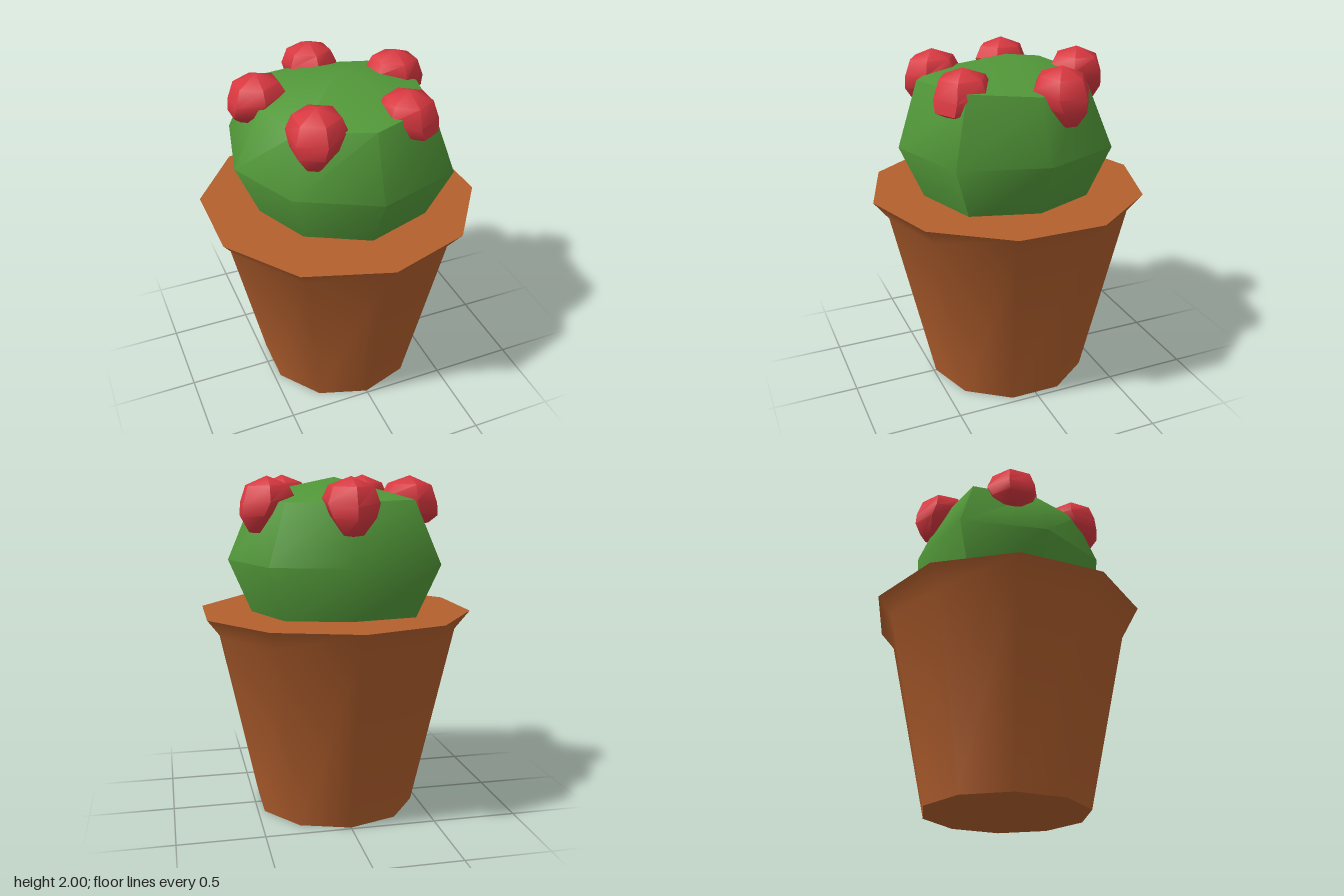
import * as THREE from 'three';
import { toCreasedNormals } from 'three/addons/utils/BufferGeometryUtils.js';

// Skin a stack of rings, listed bottom to top; a ring of equal points closes an end.
function loft(rings, creaseDegrees) {
  const positions = [];
  const addTriangle = (a, b, c) => {
    const area = new THREE.Triangle(a, b, c).getArea();
    if (area > 1e-7) for (const p of [a, b, c]) positions.push(p.x, p.y, p.z);
  };
  for (let k = 0; k < rings.length - 1; k++) {
    const low = rings[k], high = rings[k + 1], n = low.length;
    for (let i = 0; i < n; i++) {
      const j = (i + 1) % n;
      addTriangle(low[i], low[j], high[j]);
      addTriangle(low[i], high[j], high[i]);
    }
  }
  const geometry = new THREE.BufferGeometry();
  geometry.setAttribute('position', new THREE.Float32BufferAttribute(positions, 3));
  return toCreasedNormals(geometry, THREE.MathUtils.degToRad(creaseDegrees));
}

// Regular ring with its first corner towards +z.
function ring(sides, radius, y, cx = 0, cz = 0) {
  return Array.from({ length: sides }, (_, i) => {
    const a = (i / sides) * Math.PI * 2;
    return new THREE.Vector3(cx + Math.sin(a) * radius, y, cz + Math.cos(a) * radius);
  });
}

// Ball-shaped bloom whose lower half leans outwards over the cactus edge.
function flowerGeometry(x, z, bottom) {
  const out = new THREE.Vector2(x, z).normalize();
  // radius, height, outward shift, tilt
  const profile = [
    [0, bottom, 0.055, 0],
    [0.06, bottom + 0.01, 0.055, 0],
    [0.135, 1.79, 0.035, 0.12],
    [0.165, 1.87, 0, 0.16],
    [0.13, 1.95, 0, 0.04],
    [0, 2, 0, 0],
  ];
  const rings = profile.map(([r, y, shift, tilt]) => {
    const points = ring(6, r, y, out.x * shift, out.y * shift);
    for (const p of points) p.y -= tilt * (p.x * out.x + p.z * out.y - shift);
    return points;
  });
  return loft(rings, 55);
}

export function createModel() {
  const model = new THREE.Group();
  const terracotta = new THREE.MeshStandardMaterial({ color: 0xb4602e });
  terracotta.name = 'terracotta';
  const green = new THREE.MeshStandardMaterial({ color: 0x529839 });
  green.name = 'cactusGreen';
  const red = new THREE.MeshStandardMaterial({ color: 0xd93840 });
  red.name = 'flowerRed';

  const add = (name, geometry, material) => {
    const mesh = new THREE.Mesh(geometry, material);
    mesh.name = name;
    model.add(mesh);
    return mesh;
  };

  // Ten-sided pot with a flared rim and a flat top
  const potProfile = [[0, 0], [0.485, 0], [0.728, 1.1], [0.815, 1.21], [0, 1.21]];
  add('pot', loft(potProfile.map(([r, y]) => ring(10, r, y)), 48), terracotta);

  // Uneven eight-sided cactus: widest ring, shoulder ring and apex
  const waist = [[0, 0.65], [0.49, 0.485], [0.63, 0], [0.45, -0.45],
    [0, -0.585], [-0.5, -0.5], [-0.615, 0], [-0.43, 0.42]];
  const shoulder = [[0, 0.53, 1.89], [0.385, 0.38, 1.89], [0.485, 0, 1.86], [0.34, -0.345, 1.86],
    [0, -0.45, 1.86], [-0.38, -0.38, 1.87], [-0.455, 0, 1.85], [-0.34, 0.33, 1.86]];
  add('cactus', loft([
    waist.map(([x, z]) => new THREE.Vector3(x * 0.75, 1.15, z * 0.75)),
    waist.map(([x, z]) => new THREE.Vector3(x, 1.52, z)),
    shoulder.map(([x, z, y]) => new THREE.Vector3(x, y, z)),
    ring(8, 0, 1.99),
  ], 50), green);

  // Five flowers around the crown: x, z, lowest point
  const flowers = [[0, -0.445, 1.68], [0.415, -0.145, 1.68], [0.255, 0.355, 1.74],
    [-0.26, 0.355, 1.68], [-0.42, -0.14, 1.72]];
  flowers.forEach(([x, z, bottom], i) => {
    add(`flower${i + 1}`, flowerGeometry(x, z, bottom), red).position.set(x, 0, z);
  });

  return model;
}
